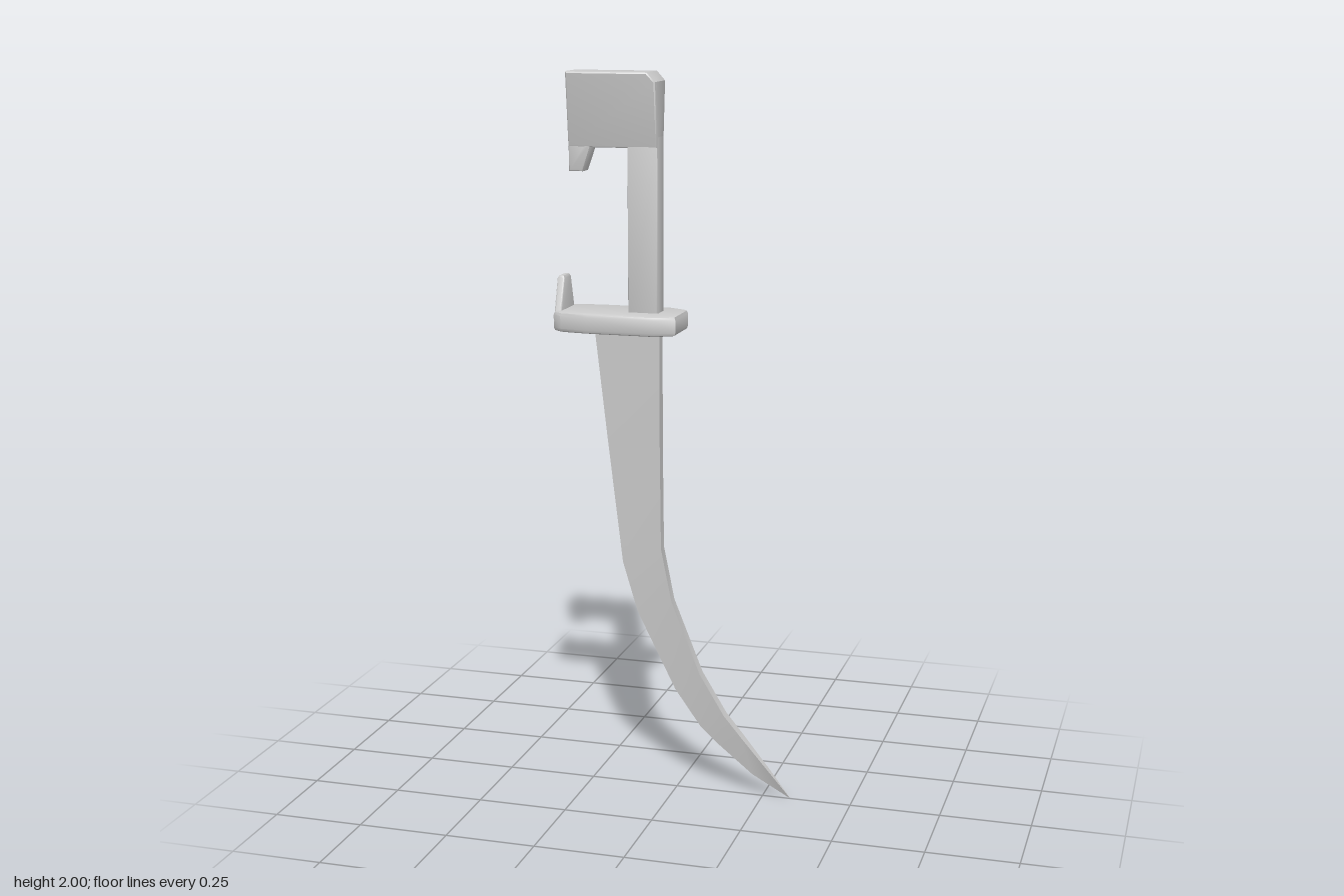
import * as THREE from 'three';
import { toCreasedNormals } from 'three/addons/utils/BufferGeometryUtils.js';

const material = new THREE.MeshStandardMaterial({ color: 0xcccccc });

function part(name, geometry) {
  const mesh = new THREE.Mesh(toCreasedNormals(geometry, 0.6), material);
  mesh.name = name;
  return mesh;
}

// Outline extruded along z, centred, with small bevels kept inside the outline
function plate(points, thickness, bevel) {
  const shape = new THREE.Shape(points.map(([x, y]) => new THREE.Vector2(x, y)));
  const g = new THREE.ExtrudeGeometry(shape, {
    depth: thickness - 2 * bevel, bevelEnabled: true, bevelThickness: bevel,
    bevelSize: bevel, bevelOffset: -bevel, bevelSegments: 2,
  });
  return g.translate(0, 0, -thickness / 2 + bevel);
}

// Move z by a factor that depends on height
function scaleDepth(g, factor) {
  const p = g.attributes.position;
  for (let i = 0; i < p.count; i++) p.setZ(i, p.getZ(i) * factor(p.getY(i)));
  return g;
}

// Wedge-shaped blade: flat spine on +x, sharp edge on -x
function bladeGeometry() {
  // spine x, spine y, edge x, edge y, half thickness
  const sections = [
    [-0.045, 1.34, -0.238, 1.34, 0.015],
    [-0.045, 1.0, -0.199, 1.0, 0.015],
    [-0.042, 0.7, -0.157, 0.65, 0.015],
    [-0.012, 0.55, -0.115, 0.51, 0.015],
    [0.07, 0.345, -0.005, 0.29, 0.015],
    [0.14, 0.23, 0.07, 0.185, 0.015],
    [0.19, 0.17, 0.12, 0.14, 0.014],
    [0.265, 0.08, 0.22, 0.06, 0.009],
    [0.33, 0.0, 0.328, 0.001, 0.0005],
  ];
  const pos = [], idx = [];
  for (const [sx, sy, ex, ey, t] of sections) pos.push(sx, sy, t, sx, sy, -t, ex, ey, 0);
  for (let i = 0; i < sections.length - 1; i++) {
    for (let k = 0; k < 3; k++) {
      const a = i * 3 + k, b = i * 3 + (k + 1) % 3;
      idx.push(a, a + 3, b, b, a + 3, b + 3);
    }
  }
  const last = (sections.length - 1) * 3;
  idx.push(0, 1, 2, last, last + 2, last + 1);
  const g = new THREE.BufferGeometry();
  g.setAttribute('position', new THREE.Float32BufferAttribute(pos, 3));
  g.setIndex(idx);
  return g;
}

export function createModel() {
  const group = new THREE.Group();
  group.name = 'curvedSword';

  group.add(part('blade', bladeGeometry()));

  // Guard: long octagonal plate lying flat
  const half = [[0.013, 0.062], [-0.04, 0.088], [-0.23, 0.088], [-0.305, 0.08], [-0.33, 0.062]];
  const outline = [...half, ...half.map(([x, z]) => [x, -z]).reverse()];
  const guard = plate(outline, 0.055, 0.01).rotateX(-Math.PI / 2).translate(0, 1.333, 0);
  group.add(part('guard', guard));

  // Upright prong at the end of the guard, narrowing upward
  const prong = plate([[-0.33, 1.33], [-0.31, 1.33], [-0.31, 1.445], [-0.314, 1.452], [-0.326, 1.452], [-0.33, 1.445]], 0.13, 0.004);
  scaleDepth(prong, (y) => 1 - 0.62 * Math.max(0, (y - 1.345) / 0.107));
  group.add(part('guardProng', prong));

  // Grip
  group.add(part('grip', plate([[-0.13, 1.34], [-0.045, 1.34], [-0.045, 1.83], [-0.13, 1.83]], 0.058, 0.005)));

  // Pommel block, flaring toward the top
  const pommel = plate([[-0.295, 1.8], [-0.045, 1.8], [-0.045, 1.975], [-0.068, 2], [-0.295, 2]], 0.058, 0.005);
  scaleDepth(pommel, (y) => 1 + 0.8 * (y - 1.8) / 0.2);
  group.add(part('pommel', pommel));

  // Hook hanging from the pommel
  const hook = plate([[-0.295, 1.735], [-0.256, 1.735], [-0.232, 1.805], [-0.232, 1.83], [-0.295, 1.83]], 0.058, 0.005);
  scaleDepth(hook, (y) => 1 - 0.15 * Math.max(0, (1.8 - y) / 0.065));
  group.add(part('pommelHook', hook));

  return group;
}
